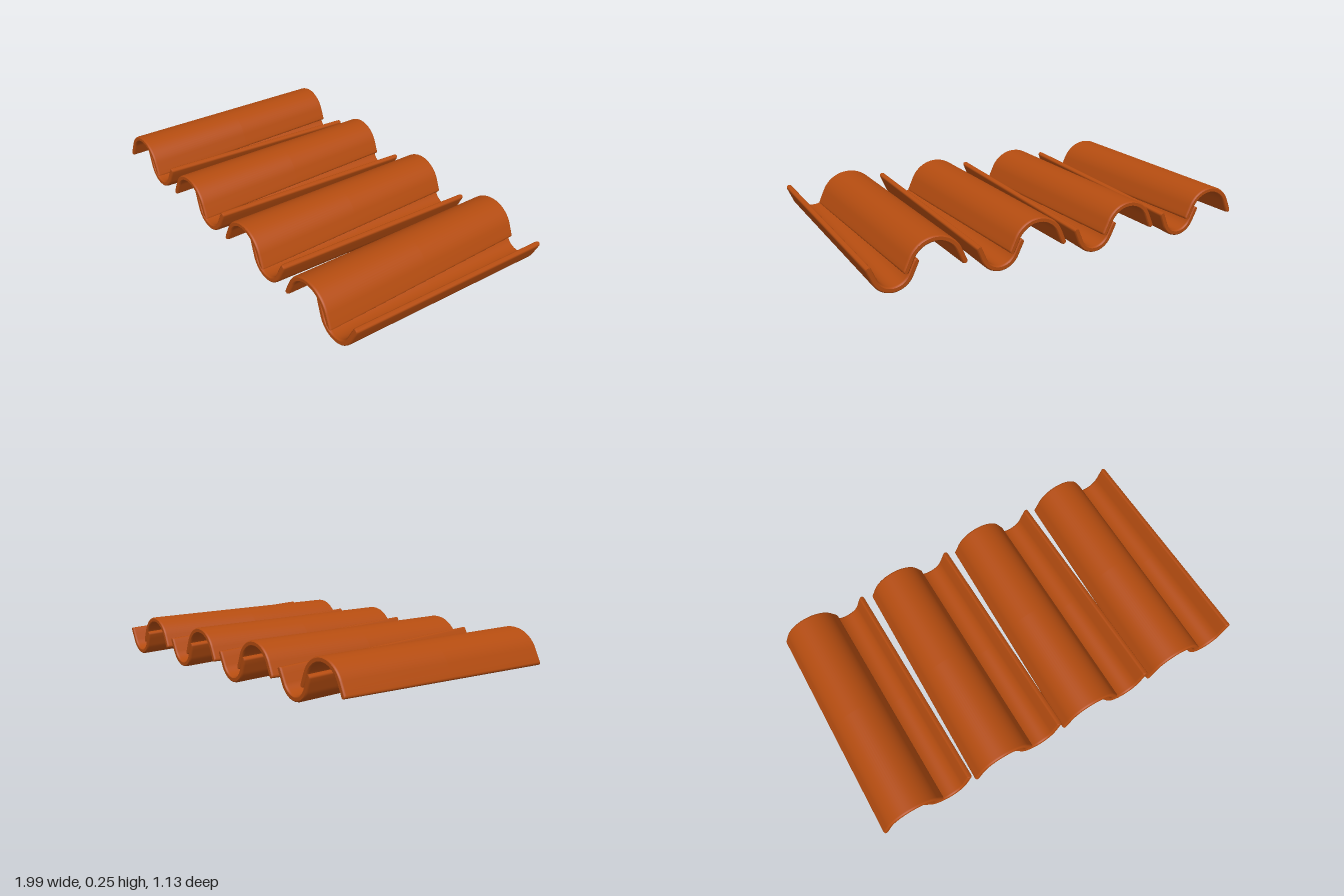
import * as THREE from 'three';

const ANGLE = THREE.MathUtils.degToRad(66); // half angle of the round part of a tile
const THICK = 0.027;

// Closed outline of an arched tile: round crown at the origin, straight flared tails, rounded lips.
// w = half width, h = height, full = thickness factor (below 1 near the rounded ends).
function outline(w, h, full) {
  const s = Math.sin(ANGLE), c = Math.cos(ANGLE), det = s * s - c * (1 - c);
  const R = (w * s - c * h) / det;
  const L = (s * h - (1 - c) * w) / det;
  const half = [];
  const STEPS = 14;
  for (let i = 0; i <= STEPS; i++) half.push([ANGLE * i / STEPS, 0, 1]);
  half.push([ANGLE, L * 0.5, 1], [ANGLE, L - 0.01, 1], [ANGLE, L - 0.003, 0.85], [ANGLE, L, 0.5]);
  const sides = [-1, 1].map((side) => half.map(([t, tail, k]) => [side * t, tail * side, k]));
  const path = [...sides[0].reverse(), ...sides[1].slice(1)];
  const offset = (dir) => path.map(([t, tail, k]) => {
    const d = THICK / 2 * (dir * k * full - 1);
    return [
      (R + d) * Math.sin(t) + tail * Math.cos(t),
      (R + d) * Math.cos(t) - R - tail * Math.sin(t),
    ];
  });
  return [...offset(1), ...offset(-1).reverse()];
}

// Tapered tile lofted from back to front; flip = -1 turns the arch into a trough.
function tileGeometry(back, front, flip, tilt) {
  const stations = [[-0.56, 0.55], [-0.557, 0.85], [-0.55, 1], [0, 1], [0.55, 1], [0.557, 0.85], [0.56, 0.55]];
  const rings = stations.map(([z, full]) => {
    const f = (z + 0.56) / 1.12;
    const mix = (key) => THREE.MathUtils.lerp(back[key], front[key], f);
    return outline(mix('w'), mix('h'), full).map(([x, y]) => {
      const lift = flip * y;
      return [flip * x, mix('crown') + lift, z - tilt * (lift + flip * 0.1)];
    });
  });
  const n = rings[0].length;
  const position = [...rings, rings[0], rings[rings.length - 1]].flat(2);
  const index = [];
  const quad = (a, b, c, d) => index.push(a, b, c, a, c, d);
  for (let i = 0; i < rings.length - 1; i++) {
    for (let j = 0; j < n; j++) {
      const k = (j + 1) % n;
      quad(i * n + j, (i + 1) * n + j, (i + 1) * n + k, i * n + k);
    }
  }
  // End faces, with their own vertices
  const b = rings.length * n, e = b + n;
  for (let j = 0; j < n / 2 - 1; j++) {
    const inner = n - 1 - j;
    quad(b + j, b + j + 1, b + inner - 1, b + inner);
    quad(e + j, e + inner, e + inner - 1, e + j + 1);
  }
  const geometry = new THREE.BufferGeometry();
  geometry.setAttribute('position', new THREE.Float32BufferAttribute(position, 3));
  geometry.setIndex(index);
  geometry.computeVertexNormals();
  return geometry;
}

export function createModel() {
  const model = new THREE.Group();
  model.name = 'roofTiles';
  const terracotta = new THREE.MeshStandardMaterial({ color: 0xb44c10 });
  terracotta.name = 'terracotta';

  const cover = tileGeometry(
    { w: 0.15, h: 0.14, crown: 0.22 }, { w: 0.165, h: 0.155, crown: 0.25 }, 1, 0.027);
  const pan = tileGeometry(
    { w: 0.12, h: 0.125, crown: 0 }, { w: 0.135, h: 0.14, crown: 0.065 }, -1, 0.06);

  // Four columns, each a cover tile overlapping the trough tile on its left
  for (let i = 0; i < 4; i++) {
    const column = new THREE.Group();
    column.name = `tileColumn${i + 1}`;
    column.position.x = -0.833 + i * 0.5;
    const coverTile = new THREE.Mesh(cover, terracotta);
    coverTile.name = 'coverTile';
    const panTile = new THREE.Mesh(pan, terracotta);
    panTile.name = 'panTile';
    panTile.position.x = 0.193;
    column.add(coverTile, panTile);
    model.add(column);
  }
  return model;
}
